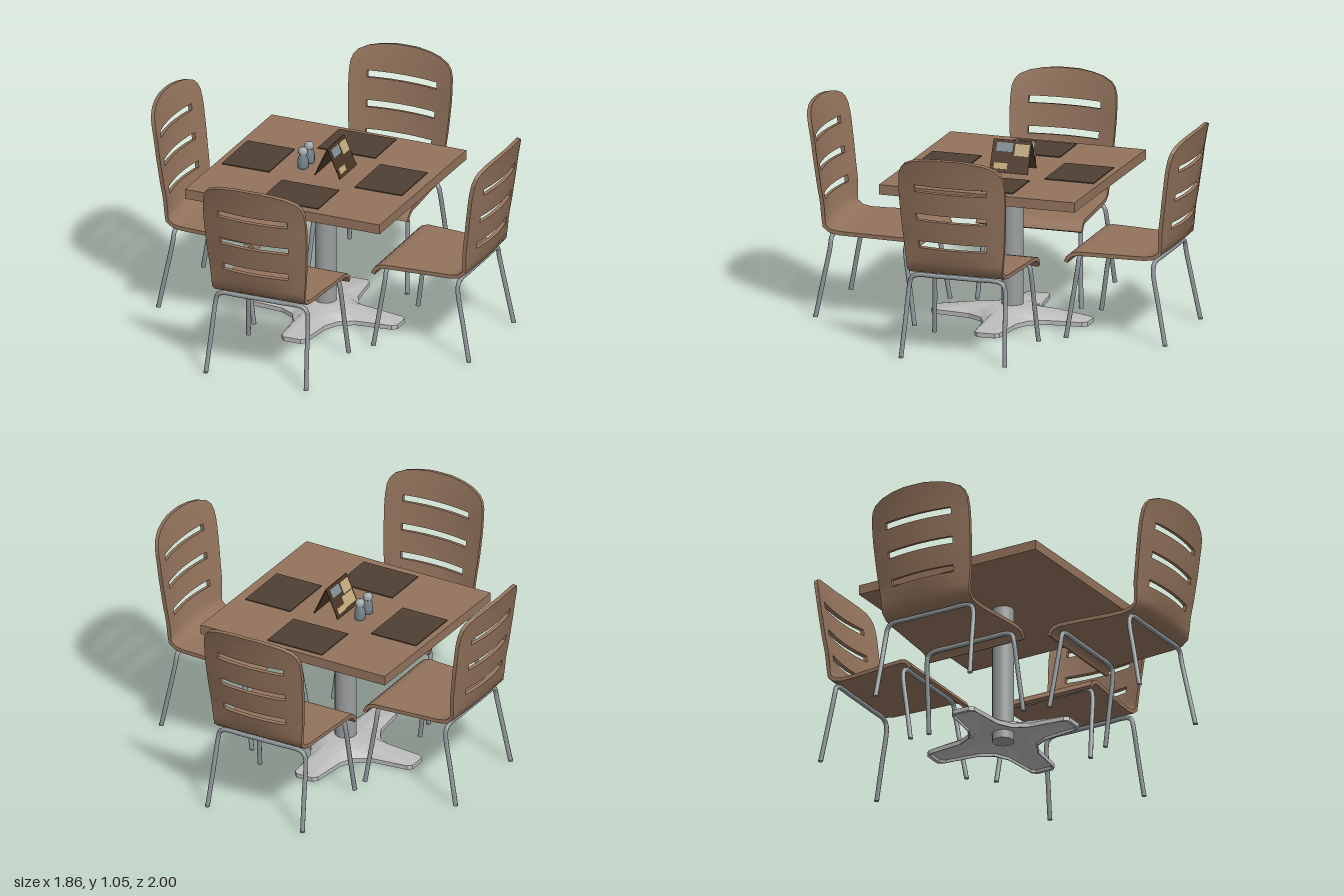
import * as THREE from 'three';

const mat = (name, color, side = THREE.FrontSide) => {
  const m = new THREE.MeshStandardMaterial({ color, side });
  m.name = name;
  return m;
};

export function createModel() {
  const wood = mat('wood', 0x93735c);
  const matBrown = mat('placemat brown', 0x4f3f34);
  const steel = mat('leg steel', 0x8f9699);
  const columnGrey = mat('column grey', 0x9a9d9e);
  const baseGrey = mat('base grey', 0xbababa, THREE.DoubleSide);
  const shakerGrey = mat('shaker grey', 0x75828a);
  const capGrey = mat('shaker cap grey', 0xa3abad);
  const cardBrown = mat('card brown', 0x4a3526);
  const cardTan = mat('card tan', 0xc2a97c);
  const cardBlue = mat('card blue grey', 0x7f8f94);

  const root = new THREE.Group();
  root.name = 'diningSet';
  const add = (parent, name, geo, material, x = 0, y = 0, z = 0) => {
    const m = new THREE.Mesh(geo, material);
    m.name = name;
    m.position.set(x, y, z);
    parent.add(m);
    return m;
  };
  const group = (parent, name, x, y, z) => {
    const g = new THREE.Group();
    g.name = name;
    g.position.set(x, y, z);
    parent.add(g);
    return g;
  };

  // Chair shell: a bent sheet of plywood, rows of [z, y, half width, slot starts here]
  const rows = [
    [0, 0.39, 0.275], [0.012, 0.415, 0.276], [0.035, 0.434, 0.275], [0.07, 0.442, 0.273],
    [0.2, 0.441, 0.264], [0.33, 0.439, 0.252], [0.41, 0.439, 0.248], [0.455, 0.447, 0.248],
    [0.487, 0.468, 0.249], [0.507, 0.505, 0.251], [0.522, 0.575, 0.258, 1], [0.527, 0.61, 0.261],
    [0.537, 0.665, 0.266], [0.545, 0.72, 0.27, 1], [0.55, 0.755, 0.272], [0.559, 0.815, 0.275],
    [0.566, 0.87, 0.276, 1], [0.571, 0.905, 0.275], [0.579, 0.95, 0.272], [0.586, 0.985, 0.26],
    [0.591, 1.01, 0.238], [0.596, 1.031, 0.19], [0.599, 1.043, 0.13], [0.6, 1.05, 0.06],
  ];
  const cols = [-1, -0.87, -0.68, -0.46, -0.23, 0, 0.23, 0.46, 0.68, 0.87, 1];

  function shellGeometry(thickness) {
    const pos = [], index = [], nc = cols.length, nr = rows.length;
    const point = (i, j, depth) => {
      const [z, y, w] = rows[i];
      const a = rows[Math.max(i - 1, 0)], b = rows[Math.min(i + 1, nr - 1)];
      const dz = b[0] - a[0], dy = b[1] - a[1], len = Math.hypot(dz, dy);
      const x = cols[j] * w;
      const bow = 0.55 * THREE.MathUtils.smoothstep(y, 0.44, 0.54) * x * x;
      return [x, y - (dz / len) * depth, z - bow + (dy / len) * depth];
    };
    for (const depth of [0, thickness])
      for (let i = 0; i < nr; i++) for (let j = 0; j < nc; j++) pos.push(...point(i, j, depth));
    const solid = (i, j) => i >= 0 && j >= 0 && i < nr - 1 && j < nc - 1 &&
      !(rows[i][3] && j >= 2 && j < nc - 3);
    const wall = (i0, j0, i1, j1) => {
      const n = pos.length / 3;
      pos.push(...point(i0, j0, 0), ...point(i0, j0, thickness),
        ...point(i1, j1, thickness), ...point(i1, j1, 0));
      index.push(n, n + 1, n + 2, n, n + 2, n + 3);
    };
    const back = nr * nc;
    for (let i = 0; i < nr - 1; i++) for (let j = 0; j < nc - 1; j++) {
      if (!solid(i, j)) continue;
      const a = i * nc + j, r = a + nc;
      index.push(a, r, r + 1, a, r + 1, a + 1);
      index.push(back + a, back + r + 1, back + r, back + a, back + a + 1, back + r + 1);
      if (!solid(i, j - 1)) wall(i, j, i + 1, j);
      if (!solid(i + 1, j)) wall(i + 1, j, i + 1, j + 1);
      if (!solid(i, j + 1)) wall(i + 1, j + 1, i, j + 1);
      if (!solid(i - 1, j)) wall(i, j + 1, i, j);
    }
    const g = new THREE.BufferGeometry();
    g.setAttribute('position', new THREE.Float32BufferAttribute(pos, 3));
    g.setIndex(index);
    g.computeVertexNormals();
    return g;
  }

  // Bent tube frame: two legs joined by a bar under the seat
  function legGeometry(zFloor, zTop) {
    const half = [[0.27, 0, zFloor], [0.259, 0.18, (zFloor + zTop) / 2], [0.248, 0.365, zTop],
      [0.24, 0.395, zTop], [0.215, 0.41, zTop], [0.1, 0.412, zTop]];
    const right = half.map(p => new THREE.Vector3(...p));
    const left = half.map(([x, y, z]) => new THREE.Vector3(-x, y, z)).reverse();
    return new THREE.TubeGeometry(new THREE.CatmullRomCurve3([...right, ...left]), 60, 0.012, 8);
  }

  const shell = shellGeometry(0.02);
  const frames = [['frontLegs', 0.01, 0.065], ['rearLegs', 0.525, 0.455]];
  const legs = frames.map(f => legGeometry(f[1], f[2]));
  const foot = new THREE.CylinderGeometry(0.0125, 0.0125, 0.008, 8);
  const chairs = [['frontChair', -0.025, 0.38, 0], ['rightChair', 0.31, -0.01, Math.PI / 2],
    ['backChair', -0.057, -0.377, Math.PI], ['leftChair', -0.315, -0.012, -Math.PI / 2]];
  for (const [name, x, z, turn] of chairs) {
    const chair = group(root, name, x, 0, z);
    chair.rotation.y = turn;
    add(chair, 'seatAndBack', shell, wood);
    frames.forEach(([legName, zFloor], k) => {
      add(chair, legName, legs[k], steel);
      for (const s of [-1, 1]) add(chair, 'foot', foot, steel, s * 0.27, 0.004, zFloor);
    });
  }

  // Table top and column
  const table = group(root, 'table', -0.06, 0, -0.015);
  add(table, 'tableTop', new THREE.BoxGeometry(1.055, 0.05, 1.02), wood, 0, 0.74, 0).rotation.y = -0.012;
  add(table, 'column', new THREE.CylinderGeometry(0.054, 0.054, 0.713, 24), columnGrey, 0, 0.3585, 0);

  // Four-armed foot, hollow below: loops of the star outline blended toward a circle
  const arm = [[0.385, -0.065], [0.407, -0.045], [0.407, 0.045], [0.385, 0.065], [0.2, 0.085], [0.125, 0.125], [0.085, 0.2]];
  const star = [];
  for (let k = 0; k < 4; k++) {
    const c = Math.round(Math.cos(k * Math.PI / 2)), s = Math.round(Math.sin(k * Math.PI / 2));
    for (const [x, z] of arm) star.push([x * c - z * s, x * s + z * c]);
  }
  // Each loop: blend to circle, circle radius, height, outline scale
  const loops = [[1, 0.05, 0.045, 1], [0.6, 0.08, 0.04, 1], [0, 0, 0.014, 0.95], [0, 0, 0, 0.96],
    [0, 0, 0, 1], [0, 0, 0.022, 1], [0.55, 0.1, 0.052, 1], [1, 0.095, 0.068, 1], [1, 0.05, 0.072, 1]];
  const bp = [], bi = [], n = star.length;
  loops.forEach(([t, radius, y, scale], l) => star.forEach(([x, z], k) => {
    const d = Math.hypot(x, z);
    const f = scale * (1 - t) + t * radius / d;
    bp.push(x * f, y, z * f);
    if (l < loops.length - 1) {
      const a = l * n + k, b = l * n + (k + 1) % n;
      bi.push(a, a + n, b + n, a, b + n, b);
    }
  }));
  let baseGeo = new THREE.BufferGeometry();
  baseGeo.setAttribute('position', new THREE.Float32BufferAttribute(bp, 3));
  baseGeo.setIndex(bi);
  baseGeo = baseGeo.toNonIndexed();
  baseGeo.computeVertexNormals();
  add(table, 'starBase', baseGeo, baseGrey);

  // Placemats
  const matSpots = [[-0.428, -0.025, 0], [0.288, -0.025, 0], [-0.048, -0.367, 1], [-0.048, 0.322, 1]];
  for (const [x, z, turned] of matSpots) {
    const geo = new THREE.BoxGeometry(turned ? 0.31 : 0.255, 0.005, turned ? 0.255 : 0.31);
    add(root, 'placemat', geo, matBrown, x, 0.7675, z);
  }

  // Salt and pepper shakers
  const lathe = pts => new THREE.LatheGeometry(pts.map(p => new THREE.Vector2(...p)), 16);
  const body = lathe([[0, 0], [0.025, 0], [0.027, 0.01], [0.027, 0.045], [0.019, 0.068], [0.019, 0.078]]);
  const cap = lathe([[0.019, 0.075], [0.023, 0.078], [0.023, 0.095], [0.015, 0.107], [0, 0.11]]);
  for (const z of [-0.07, 0.007]) {
    const shaker = group(root, 'shaker', -0.173, 0.765, z);
    add(shaker, 'shakerBody', body, shakerGrey);
    add(shaker, 'shakerCap', cap, capGrey);
  }

  // Folded table card with coloured patches on both outer faces
  const card = group(root, 'tableCard', -0.015, 0.765, -0.033);
  const rise = 0.15, run = 0.068, slope = Math.hypot(rise, run);
  // Patch: colour, width along card, height, offset along card, offset up the face
  const patches = [[cardBlue, 0.085, 0.045, 0.035, 0.045], [cardTan, 0.075, 0.06, -0.055, 0.035],
    [cardTan, 0.07, 0.03, 0.045, -0.05]];
  for (const s of [-1, 1]) {
    const face = group(card, 'cardFace', s * run / 2, rise / 2, 0);
    face.rotation.z = s * Math.atan2(run, rise);
    add(face, 'cardPanel', new THREE.BoxGeometry(0.004, slope, 0.2), cardBrown);
    for (const [m, w, h, z, y] of patches)
      add(face, 'cardPatch', new THREE.BoxGeometry(0.003, h, w), m, s * 0.002, y, s * z);
    if (s < 0) add(face, 'cardPatch', new THREE.BoxGeometry(0.003, 0.06, 0.1), cardTan, -0.002, -0.03, 0.04);
  }

  return root;
}
